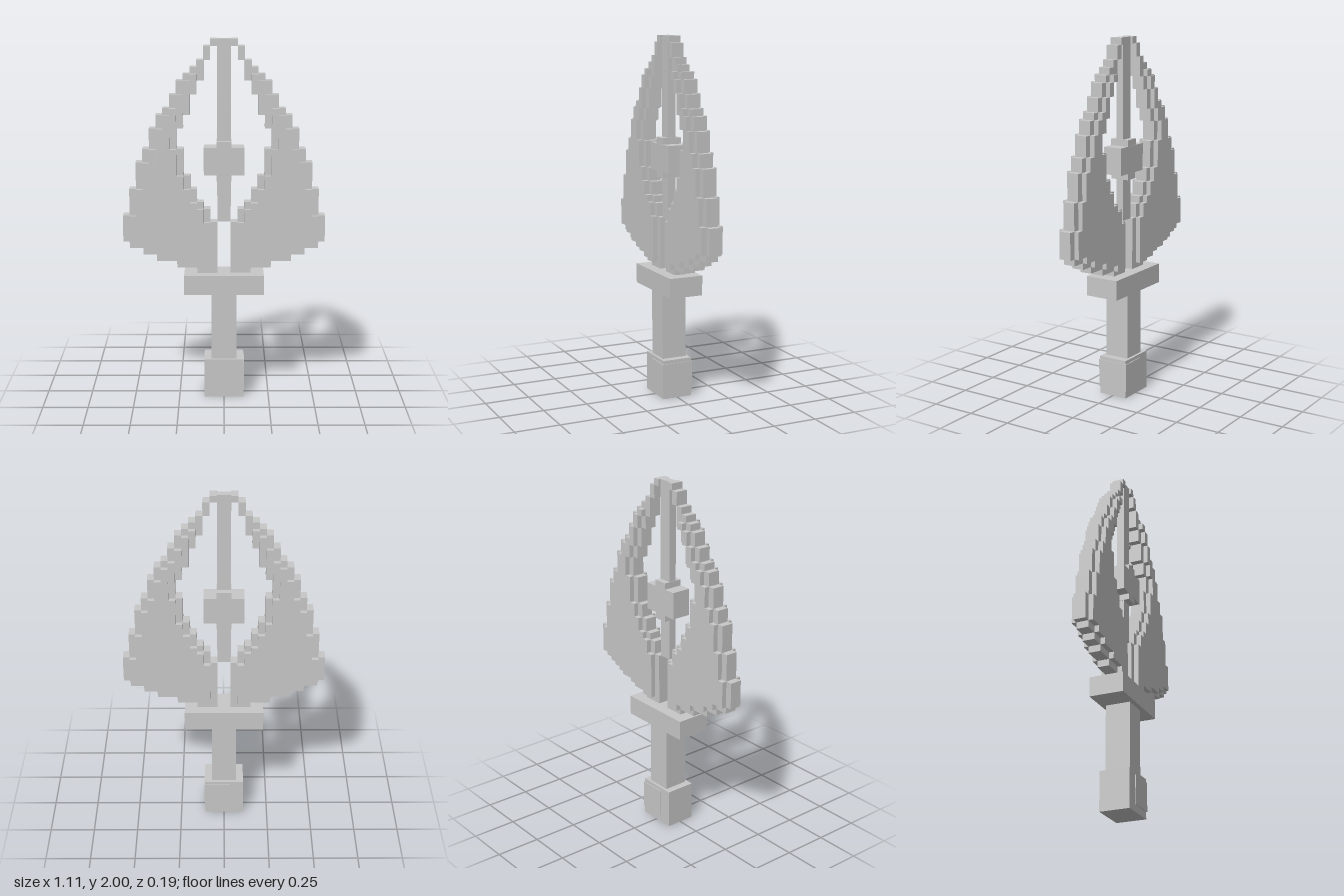
import * as THREE from 'three';

const U = 2 / 54; // size of one grid step

// [row count, half-width in steps], from the tip downwards
const OUTER = [[1, 2], [2, 3], [1, 4], [1, 5], [1, 6], [2, 7], [2, 8], [1, 9], [2, 10], [3, 11],
  [2, 12], [4, 13], [4, 14], [4, 15], [1, 14], [1, 12], [1, 10], [1, 7], [1, 4]];
const INNER = [[1, 1], [2, 2], [3, 3], [2, 4], [3, 5], [2, 6], [3, 7], [4, 6], [2, 5], [2, 4],
  [1, 3], [2, 2], [8, 1]];

const expand = (runs) => runs.flatMap(([n, w]) => Array(n).fill(w));

// Stepped blade half: walks down the outer edge and back up the inner edge
function steppedPlate(outer, inner, firstRow, side, halfDepth) {
  const down = [];
  const up = [];
  outer.forEach((w, i) => {
    const top = 2 - (firstRow + i) * U;
    down.push([w, top], [w, top - U]);
    up.push([inner[i], top], [inner[i], top - U]);
  });
  const corners = [...down, ...up.reverse()]
    .map(([x, y]) => new THREE.Vector2(side * x * U, y))
    .filter((p, i, all) => i === 0 || p.distanceTo(all[i - 1]) > 1e-6);
  const geometry = new THREE.ExtrudeGeometry(new THREE.Shape(corners), {
    depth: halfDepth * 2, bevelEnabled: false,
  });
  return geometry.translate(0, 0, -halfDepth);
}

export function createModel() {
  const model = new THREE.Group();
  model.name = 'steppedBladeSword';
  const grey = new THREE.MeshStandardMaterial({ color: 0xc7c7c7 });
  grey.name = 'light grey';

  const add = (name, geometry) => {
    const mesh = new THREE.Mesh(geometry, grey);
    mesh.name = name;
    model.add(mesh);
  };
  const box = (name, x0, x1, y0, y1, halfDepth) => add(name,
    new THREE.BoxGeometry(x1 - x0, y1 - y0, halfDepth * 2)
      .translate((x0 + x1) / 2, (y0 + y1) / 2, 0));

  // Handle
  box('pommel', -0.11, 0.11, 0, 0.22, 0.085);
  box('pommelInlay', -0.035, 0.113, 0.04, 0.2, 0.09);
  box('grip', -0.069, 0.069, 0.22, 0.6, 0.07);
  box('guard', -0.22, 0.22, 0.6, 0.71, 0.097);

  // Central spine with its floating core
  box('spine', -U, U, 1, 2, 0.022);
  box('core', -0.11, 0.11, 1.265, 1.415, 0.055);
  box('coreCollar', -0.04, 0.04, 1.23, 1.45, 0.054);

  // Two mirrored wings: thin edge plate and a thicker body one step inside it
  const outer = expand(OUTER);
  const inner = expand(INNER);
  const bodyOuter = outer.map((w, i) => Math.min(w - 1, outer[i + 1] ?? 0)).slice(5, 34);
  const bodyInner = inner.map((w) => w + 1).slice(5, 34);
  for (const [label, side] of [['left', 1], ['right', -1]]) {
    add(label + 'BladeEdge', steppedPlate(outer, inner, 0, side, 0.034));
    add(label + 'BladeBody', steppedPlate(bodyOuter, bodyInner, 5, side, 0.061));
  }
  return model;
}
